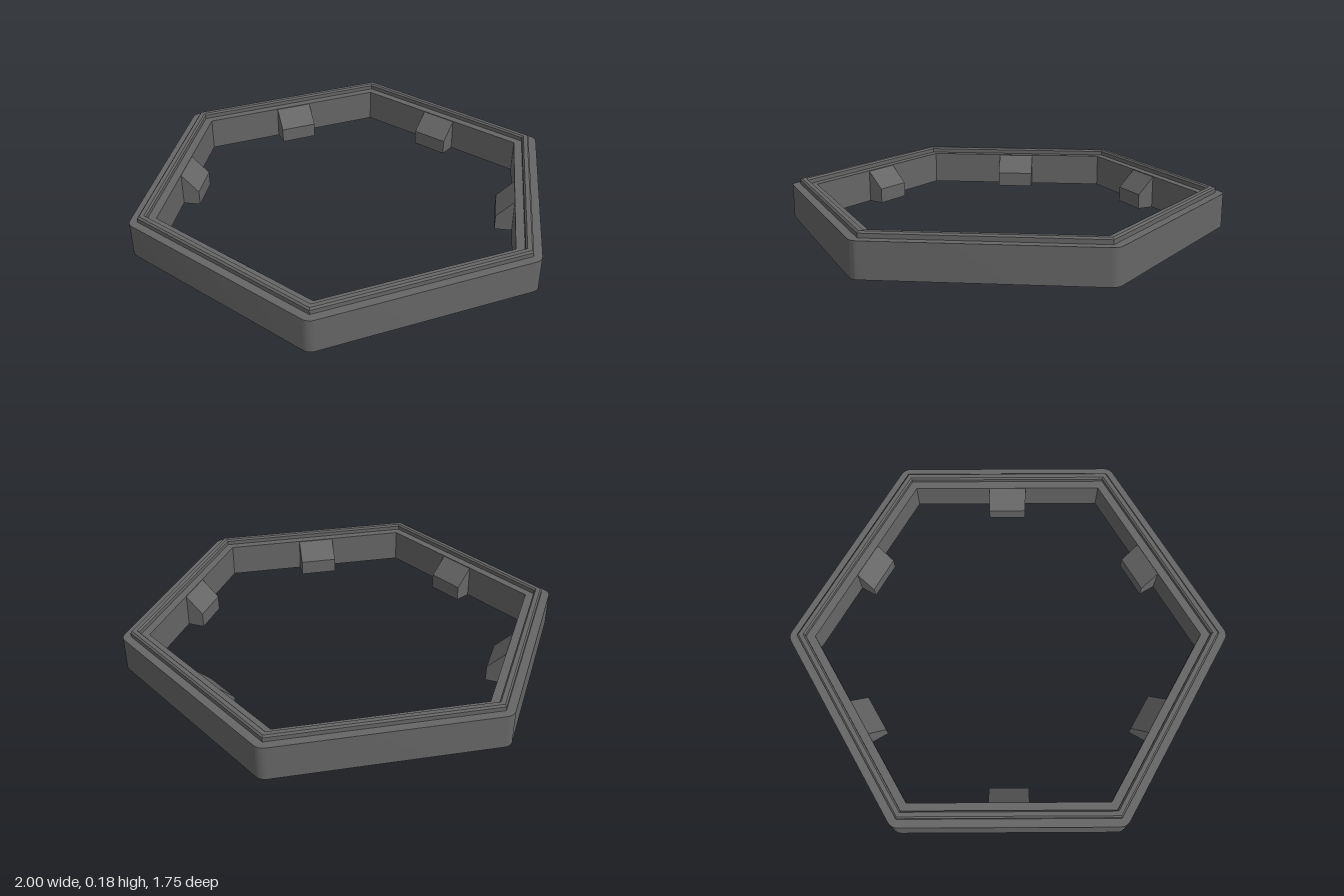
import * as THREE from 'three';
import { toCreasedNormals } from 'three/addons/utils/BufferGeometryUtils.js';

const COS30 = Math.cos(Math.PI / 6);
const OUTER = 0.873, INNER = 0.766;    // distances from centre to the flats
const BODY_TOP = 0.155, LIP_TOP = 0.182;

export function createModel() {
  const model = new THREE.Group();
  const grey = new THREE.MeshStandardMaterial({ color: 0x666666 });
  grey.name = 'dark grey';

  const add = (name, geometry) => {
    const mesh = new THREE.Mesh(geometry, grey);
    mesh.name = name;
    model.add(mesh);
    return mesh;
  };

  // Hexagonal wall: rounded outer corners, sharp inner corners
  const radius = 0.05;
  const outline = new THREE.Shape();
  const hole = new THREE.Path();
  for (let i = 0; i < 6; i++) {
    const a = (i * Math.PI) / 3;
    const c = (OUTER - radius) / COS30;
    outline.absarc(c * Math.cos(a), c * Math.sin(a), radius, a - Math.PI / 6, a + Math.PI / 6, false);
    const r = INNER / COS30;
    if (i === 0) hole.moveTo(r, 0);
    else hole.lineTo(r * Math.cos(a), r * Math.sin(a));
  }
  hole.closePath();
  outline.closePath();
  outline.holes.push(hole);
  const wall = new THREE.ExtrudeGeometry(outline, { depth: BODY_TOP, bevelEnabled: false, curveSegments: 6 });
  wall.rotateX(-Math.PI / 2);
  add('hexagonWall', toCreasedNormals(wall, Math.PI / 7));

  // Raised lip with chamfered edges, swept as a six-sided lathe
  const profile = [
    [0.836, BODY_TOP], [0.836, LIP_TOP - 0.008], [0.829, LIP_TOP],
    [0.810, LIP_TOP], [0.803, LIP_TOP - 0.008], [0.803, BODY_TOP],
  ].map(([d, y]) => new THREE.Vector2(d / COS30, y));
  const lip = new THREE.LatheGeometry(profile, 6, Math.PI / 6).toNonIndexed();
  lip.computeVertexNormals();
  add('raisedLip', lip);

  // Wedge-topped clip on the inside of each flat
  const width = 0.176;
  const side = new THREE.Shape([
    [INNER, 0], [INNER, 0.152], [0.688, 0.07], [0.688, 0],
  ].map(([x, y]) => new THREE.Vector2(x, y)));
  const clip = new THREE.ExtrudeGeometry(side, { depth: width, bevelEnabled: false });
  clip.translate(0, 0, -width / 2);
  for (let i = 0; i < 6; i++) {
    add('innerClip' + (i + 1), clip).rotation.y = Math.PI / 6 + (i * Math.PI) / 3;
  }

  return model;
}
